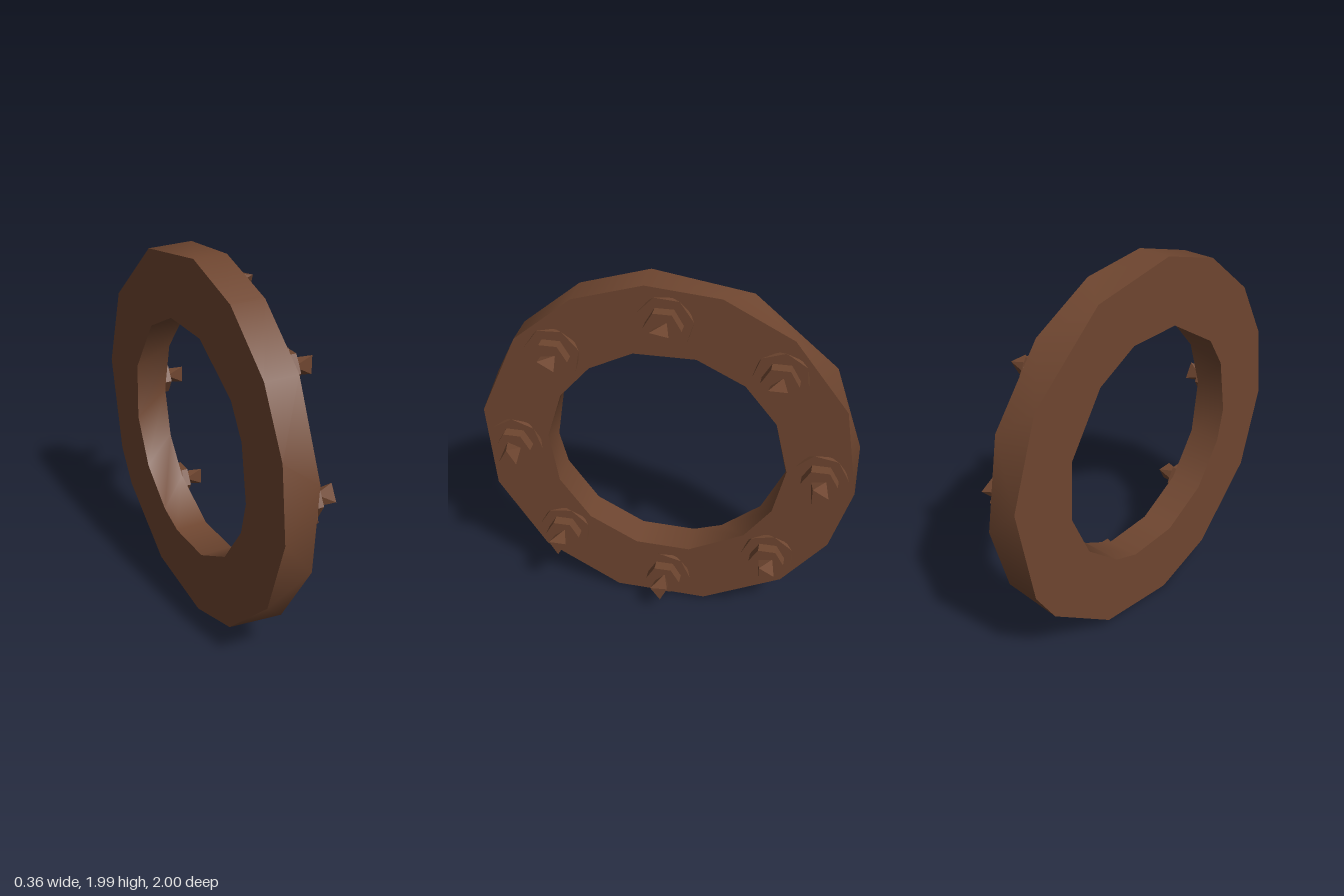
import * as THREE from 'three';

const RAD = Math.PI / 180;

// Loop of points on a circle around the x axis, angles in degrees from the top
const loop = (x, r, angles) => angles.map((a) => [x, 1 + r * Math.cos(a * RAD), -r * Math.sin(a * RAD)]);

// Band between two loops; normalOf gives the normal at a point
function addBand(pos, nor, a, b, normalOf) {
  for (let i = 0; i < a.length; i++) {
    const j = (i + 1) % a.length;
    for (const p of [a[i], b[i], b[j], a[i], b[j], a[j]]) {
      pos.push(...p);
      nor.push(...normalOf(p));
    }
  }
}

function ringGeometry() {
  const outerFront = loop(0, 1.003, [16, 39, 66, 95, 117, 139, 167, 196, 224, 252, 280, 309, 332, 354]);
  const outerBack = loop(-0.18, 1.003, [24, 57, 85, 117, 130, 159, 187, 209, 239, 265, 288, 309, 332, 354]);
  const innerFront = loop(0, 0.64, [14, 39, 63, 90, 115, 137, 168, 195, 222, 248, 275, 300, 322, 345]);
  const innerBack = loop(-0.18, 0.64, [14, 39, 73, 102, 128, 153, 168, 195, 222, 248, 265, 293, 311, 345]);
  const radial = (s) => ([, y, z]) => {
    const l = Math.hypot(y - 1, z);
    return [0, (s * (y - 1)) / l, (s * z) / l];
  };
  const pos = [], nor = [];
  addBand(pos, nor, outerBack, outerFront, radial(1));
  addBand(pos, nor, outerFront, innerFront, () => [1, 0, 0]);
  addBand(pos, nor, innerFront, innerBack, radial(-1));
  addBand(pos, nor, innerBack, outerBack, () => [-1, 0, 0]);
  const g = new THREE.BufferGeometry();
  g.setAttribute('position', new THREE.Float32BufferAttribute(pos, 3));
  g.setAttribute('normal', new THREE.Float32BufferAttribute(nor, 3));
  return g;
}

// Faceted prism along x from x0 to x1, with its outer end twisted
function prism(rEnd, rBase, x0, x1, sides, turn = 0, twist = 0) {
  const g = new THREE.CylinderGeometry(rEnd, rBase, x1 - x0, sides).toNonIndexed();
  const p = g.attributes.position;
  const v = new THREE.Vector3(), up = new THREE.Vector3(0, 1, 0);
  for (let i = 0; i < p.count; i++) {
    v.fromBufferAttribute(p, i);
    v.applyAxisAngle(up, turn + (v.y > 0 ? twist : 0));
    p.setXYZ(i, v.x, v.y, v.z);
  }
  g.rotateZ(-Math.PI / 2);
  g.translate((x0 + x1) / 2, 0, 0);
  g.computeVertexNormals();
  return g;
}

export function createModel() {
  const model = new THREE.Group();
  model.name = 'boltedFlange';
  const rust = new THREE.MeshStandardMaterial({ color: 0x6f4630 });
  rust.name = 'rustBrown';

  const add = (parent, name, geometry) => {
    const m = new THREE.Mesh(geometry, rust);
    m.name = name;
    parent.add(m);
  };

  add(model, 'flangeRing', ringGeometry());

  // Eight bolts, each with its own washer and stud rotation
  const studTips = [80, 90, 180, 180, 215, 90, 270, 60];
  studTips.forEach((tip, i) => {
    const bolt = new THREE.Group();
    bolt.name = 'bolt' + (i + 1);
    const a = i * 45 * RAD;
    bolt.position.set(0, 1 + 0.815 * Math.cos(a), -0.815 * Math.sin(a));
    add(bolt, 'washer', prism(0.146, 0.135, -0.005, 0.022, 7, i * 1.3, -0.3));
    add(bolt, 'nut', prism(0.095, 0.095, 0.02, 0.08, 6));
    const twist = -0.7;
    add(bolt, 'stud', prism(0.055, 0.044, 0.075, 0.18, 3, tip * RAD - twist, twist));
    model.add(bolt);
  });

  return model;
}
